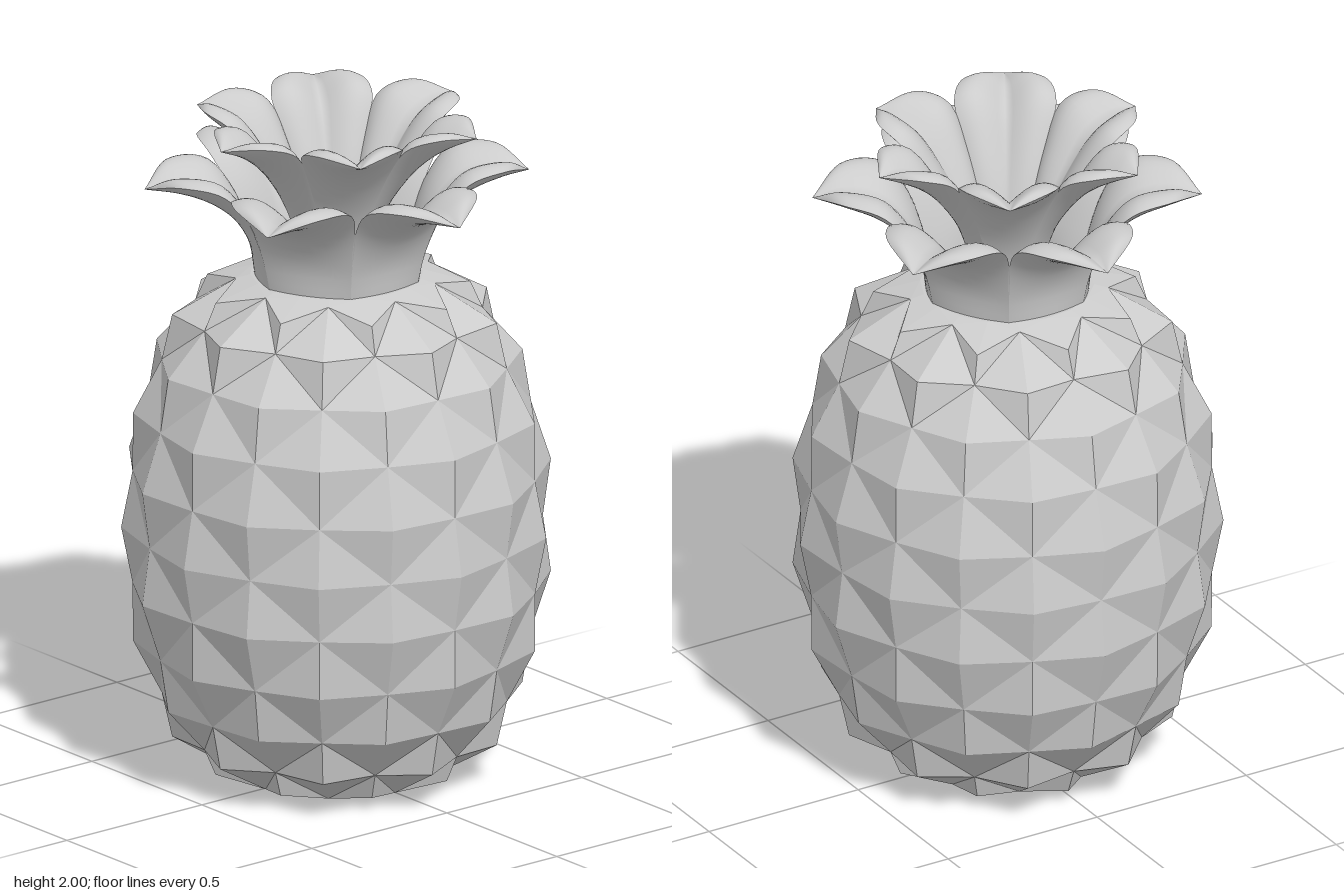
import * as THREE from 'three';
import { mergeGeometries } from 'three/addons/utils/BufferGeometryUtils.js';

const grey = (opts = {}) => new THREE.MeshStandardMaterial({ color: 0xcccccc, ...opts });

// Faceted fruit: rings of alternating raised tips and valleys, forming diamond pyramids
function makeFruit() {
  const half = [ // tip radius and height, valley radius and height
    [0.25, 0, 0.25, 0], [0.385, 0.04, 0.29, 0.01], [0.475, 0.115, 0.42, 0.12],
    [0.535, 0.25, 0.505, 0.25], [0.588, 0.41, 0.56, 0.41], [0.617, 0.585, 0.589, 0.585],
    [0.622, 0.755, 0.594, 0.755],
  ];
  const top = half.slice(0, 6).reverse().map(([a, y, b, h]) => [a, 1.51 - y, b, 1.51 - h]);
  const rows = [...half, ...top];
  const N = 18, last = rows.length - 1, pos = [];
  const isTip = (k, j) => (k + j) % 2 === 0;
  const point = (k, j) => {
    const [r, y] = isTip(k, j) ? rows[k] : rows[k].slice(2);
    const th = THREE.MathUtils.degToRad(14 + 20 * (j % N));
    return [r * Math.cos(th), y, r * Math.sin(th)];
  };
  const tri = (a, b, c) => pos.push(...a, ...b, ...c);
  for (let j = 0; j < N; j++) {
    for (let k = 0; k < last; k++) {
      const a = point(k, j), b = point(k, j + 1), c = point(k + 1, j + 1), d = point(k + 1, j);
      if (isTip(k, j)) { tri(a, d, b); tri(b, d, c); } // diamond borders join the valleys
      else { tri(a, d, c); tri(a, c, b); }
    }
    tri([0, 0, 0], point(0, j), point(0, j + 1));
    tri([0, rows[last][1], 0], point(last, j + 1), point(last, j));
  }
  const geo = new THREE.BufferGeometry();
  geo.setAttribute('position', new THREE.Float32BufferAttribute(pos, 3));
  geo.computeVertexNormals();
  const mesh = new THREE.Mesh(geo, grey({ flatShading: true }));
  mesh.name = 'fruit';
  return mesh;
}

// Thick leaf pointing along +x, swept between a midrib curve and an edge curve:
// a rounded underside and a top of two lobes parted by a midrib groove
function leafGeometry(mid, edge) {
  const curve = (pts) => new THREE.CatmullRomCurve3(pts.map(([r, y, w = 0]) => new THREE.Vector3(r, y, w)));
  const midCurve = curve(mid), edgeCurve = curve(edge);
  const underside = (v) => v * v;
  const lobes = (v) => 0.35 + 0.65 * Math.sin(2.3 * Math.abs(v)) / Math.sin(2.3);
  const sheets = [underside, lobes].map((rise) => {
    const geo = new THREE.PlaneGeometry(1, 1, 20, 28);
    const p = geo.attributes.position;
    for (let i = 0; i < p.count; i++) {
      const v = Math.sin(p.getX(i) * Math.PI); // finer steps towards the edges
      const t = 1 - (0.5 - p.getY(i)) ** 2; // finer steps towards the tip
      const m = midCurve.getPoint(t), e = edgeCurve.getPoint(t);
      const s = rise(v);
      p.setXYZ(i, m.x + (e.x - m.x) * s, m.y + (e.y - m.y) * s, e.z * v);
    }
    geo.computeVertexNormals();
    return geo;
  });
  return mergeGeometries(sheets);
}

// Ring of six leaves
function makeTier(name, geo, startDeg) {
  const tier = new THREE.Group();
  tier.name = name;
  for (let i = 0; i < 6; i++) {
    const leaf = new THREE.Mesh(geo, grey({ side: THREE.DoubleSide }));
    leaf.name = 'leaf';
    leaf.rotation.y = THREE.MathUtils.degToRad(startDeg + 60 * i);
    tier.add(leaf);
  }
  return tier;
}

export function createModel() {
  const model = new THREE.Group();
  model.name = 'pineapple';
  model.add(makeFruit());

  // Lower, wider leaves
  model.add(makeTier('lowerLeaves', leafGeometry(
    [[0.235, 1.5], [0.25, 1.6], [0.3, 1.69], [0.37, 1.745], [0.46, 1.78], [0.56, 1.79]],
    [[0.215, 1.5, 0.124], [0.235, 1.6, 0.136], [0.285, 1.73, 0.165], [0.36, 1.815, 0.18],
      [0.47, 1.833, 0.137], [0.56, 1.79, 0]],
  ), 30));

  // Upper, smaller leaves set between the lower ones
  model.add(makeTier('upperLeaves', leafGeometry(
    [[0.09, 1.56], [0.14, 1.7], [0.22, 1.82], [0.285, 1.885], [0.36, 1.935], [0.43, 1.965]],
    [[0.085, 1.56, 0.049], [0.125, 1.7, 0.072], [0.19, 1.84, 0.11], [0.27, 1.955, 0.147],
      [0.355, 1.985, 0.12], [0.43, 1.965, 0]],
  ), 0));

  // Short core that closes the bottom of the upper leaves
  const core = new THREE.Mesh(new THREE.CylinderGeometry(0.1, 0.1, 0.07, 6), grey({ flatShading: true }));
  core.name = 'crownCore';
  core.position.y = 1.53;
  model.add(core);
  return model;
}
